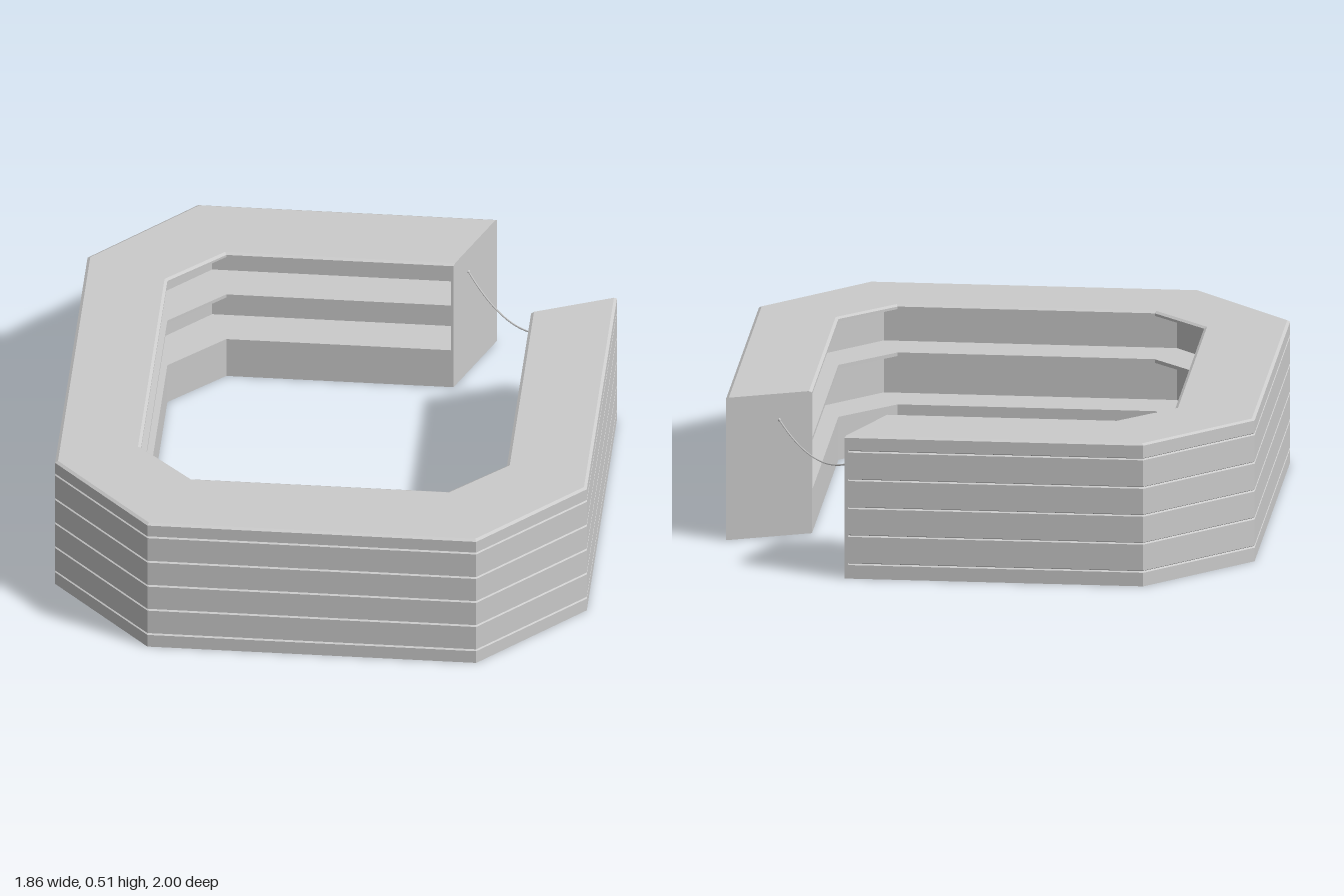
import * as THREE from 'three';

const grey = new THREE.MeshStandardMaterial({ color: 0xcccccc, flatShading: true });

// Corner stations round the counter: outer x, outer z, inner x, inner z
const STATIONS = [
  [0.47, -1, 0.345, -0.7],
  [-0.575, -1, -0.45, -0.7],
  [-0.93, -0.64, -0.64, -0.52],
  [-0.93, 0.64, -0.64, 0.52],
  [-0.575, 1, -0.45, 0.7],
  [0.575, 1, 0.45, 0.7],
  [0.93, 0.64, 0.64, 0.52],
  [0.93, -0.55, 0.64, -0.43],
];

// Sweeps a counter-clockwise profile of [t, y] along the stations;
// t runs from 0 on the outer edge to 1 on the inner edge.
function sweep(name, profile, stations = STATIONS) {
  const pos = [];
  const n = profile.length;
  const point = (i, j) => {
    const [ox, oz, ix, iz] = stations[i];
    const [t, y] = profile[j % n];
    return [ox + (ix - ox) * t, y, oz + (iz - oz) * t];
  };
  const last = stations.length - 1;
  for (let i = 0; i < last; i++) {
    for (let j = 0; j < n; j++) {
      const a = point(i, j), b = point(i, j + 1), c = point(i + 1, j + 1), d = point(i + 1, j);
      pos.push(...a, ...b, ...c, ...a, ...c, ...d);
    }
  }
  // End caps
  const contour = profile.map(([t, y]) => new THREE.Vector2(t, y));
  for (const [a, b, c] of THREE.ShapeUtils.triangulateShape(contour, [])) {
    pos.push(...point(last, a), ...point(last, b), ...point(last, c));
    pos.push(...point(0, c), ...point(0, b), ...point(0, a));
  }
  const geo = new THREE.BufferGeometry();
  geo.setAttribute('position', new THREE.Float32BufferAttribute(pos, 3));
  geo.computeVertexNormals();
  const mesh = new THREE.Mesh(geo, grey);
  mesh.name = name;
  return mesh;
}

const slab = (t0, t1, y0, y1) => [[t0, y0], [t1, y0], [t1, y1], [t0, y1]];

export function createModel() {
  const model = new THREE.Group();
  model.name = 'barCounter';

  // Outer cladding: stacked planks with narrow V grooves between them
  const cladding = new THREE.Group();
  cladding.name = 'cladding';
  const seams = [0, 0.053, 0.155, 0.256, 0.357, 0.46, 0.507];
  for (let k = 0; k < seams.length - 1; k++) {
    const y0 = seams[k], y1 = seams[k + 1], g = 0.004;
    const low = k ? g : 0, high = k < seams.length - 2 ? g : 0;
    cladding.add(sweep('plank' + (k + 1), [
      [0.025, y0], [0.05, y0], [0.05, y1], [0.025, y1], [0, y1 - high], [0, y0 + low],
    ]));
  }
  model.add(cladding);

  // Countertop with a slightly bevelled rim
  model.add(sweep('countertop', [
    [0, 0.5], [1, 0.5], [1, 0.509], [0.965, 0.515], [0.035, 0.515], [0, 0.509],
  ]));

  // Inner side: low base panel, two shelves and the wall behind them
  model.add(sweep('basePanel', slab(0.96, 1, 0, 0.145)));
  model.add(sweep('lowerShelf', slab(0.05, 1, 0.145, 0.155)));
  model.add(sweep('middleShelf', slab(0.5, 1, 0.33, 0.343)));
  model.add(sweep('shelfBackWall', slab(0.46, 0.5, 0.155, 0.5)));

  // Full-height panels closing the two ends at the entrance
  const toward = (a, b, f) => a.map((v, k) => v + (b[k] - v) * f);
  const S = STATIONS;
  model.add(sweep('endPanelBack', slab(0, 1, 0, 0.507), [S[0], toward(S[0], S[1], 0.012)]));
  model.add(sweep('endPanelSide', slab(0, 1, 0, 0.507), [toward(S[7], S[6], 0.012), S[7]]));

  // Rope hanging across the entrance
  const a = new THREE.Vector3(0.388, 0.42, -0.803);
  const b = new THREE.Vector3(0.75, 0.42, -0.475);
  const points = [];
  for (let i = 0; i <= 12; i++) {
    const u = i / 12;
    const p = a.clone().lerp(b, u);
    p.y -= 0.107 * (1 - (2 * u - 1) ** 2);
    points.push(p);
  }
  const ropeMat = new THREE.MeshStandardMaterial({ color: 0xcccccc });
  const rope = new THREE.Mesh(
    new THREE.TubeGeometry(new THREE.CatmullRomCurve3(points), 32, 0.003, 6), ropeMat);
  rope.name = 'rope';
  model.add(rope);
  for (const p of [a, b]) {
    const knob = new THREE.Mesh(new THREE.SphereGeometry(0.006, 10, 8), ropeMat);
    knob.position.copy(p);
    knob.name = 'ropeHook';
    model.add(knob);
  }
  return model;
}
